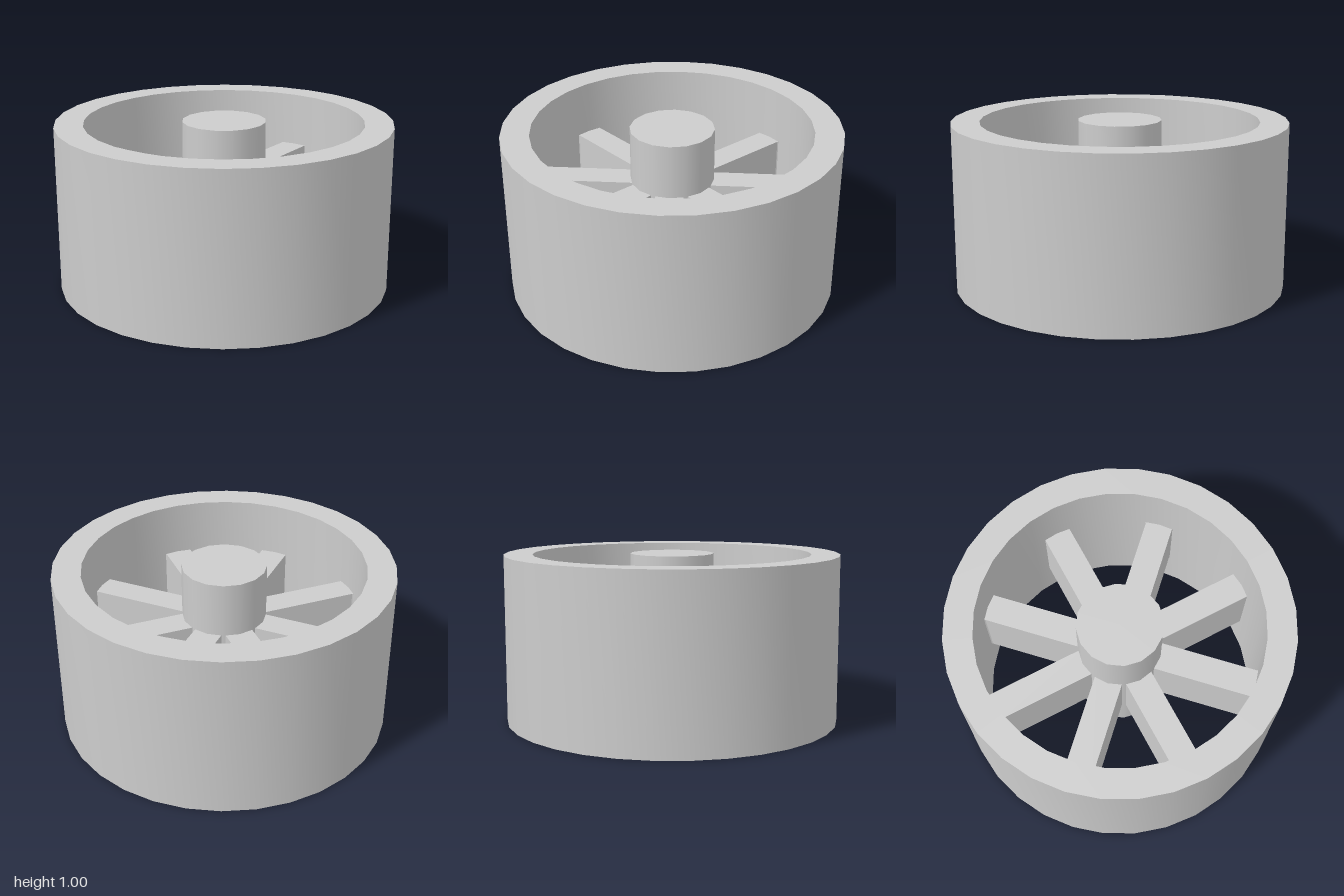
import * as THREE from 'three';
import { toCreasedNormals } from 'three/addons/utils/BufferGeometryUtils.js';

const RIM_OUTER = 1, RIM_INNER = 0.83, HUB_RADIUS = 0.25, HEIGHT = 1;
const SPOKE_HALF = 0.083, SPOKE_BOTTOM = 0.27, SPOKE_TOP = 0.67;

// Closed ring with a rectangular cross-section, smooth round walls and sharp edges
function ringGeometry(inner, outer, height, sides) {
  const profile = [[inner, 0], [outer, 0], [outer, height], [inner, height], [inner, 0]]
    .map(([r, y]) => new THREE.Vector2(r, y));
  return toCreasedNormals(new THREE.LatheGeometry(profile, sides), Math.PI / 6);
}

// Straight spoke along +x; flare widens it slightly where it meets the rim
function spokeGeometry(flare) {
  const w = SPOKE_HALF, e = w + flare;
  const shape = new THREE.Shape([
    [0.2, -w], [0.815, -w], [0.83, -e], [0.85, -e],
    [0.85, e], [0.83, e], [0.815, w], [0.2, w],
  ].map(([x, y]) => new THREE.Vector2(x, y)));
  const geometry = new THREE.ExtrudeGeometry(shape, {
    depth: SPOKE_TOP - SPOKE_BOTTOM, bevelEnabled: false,
  });
  geometry.rotateX(-Math.PI / 2);
  geometry.translate(0, SPOKE_BOTTOM, 0);
  return geometry;
}

export function createModel() {
  const model = new THREE.Group();
  model.name = 'spokedWheel';
  const grey = new THREE.MeshStandardMaterial({ color: 0xcccccc });
  grey.name = 'lightGrey';

  const add = (name, geometry) => {
    const mesh = new THREE.Mesh(geometry, grey);
    mesh.name = name;
    model.add(mesh);
    return mesh;
  };

  // Rim
  add('rim', ringGeometry(RIM_INNER, RIM_OUTER, HEIGHT, 32));

  // Hub, as tall as the rim
  add('hub', new THREE.CylinderGeometry(HUB_RADIUS, HUB_RADIUS, HEIGHT, 16))
    .position.y = HEIGHT / 2;

  // Eight spokes
  const straight = spokeGeometry(0), flared = spokeGeometry(0.008);
  for (let i = 0; i < 8; i++) {
    add(`spoke${i + 1}`, i % 2 ? straight : flared).rotation.y = i * Math.PI / 4;
  }
  return model;
}
